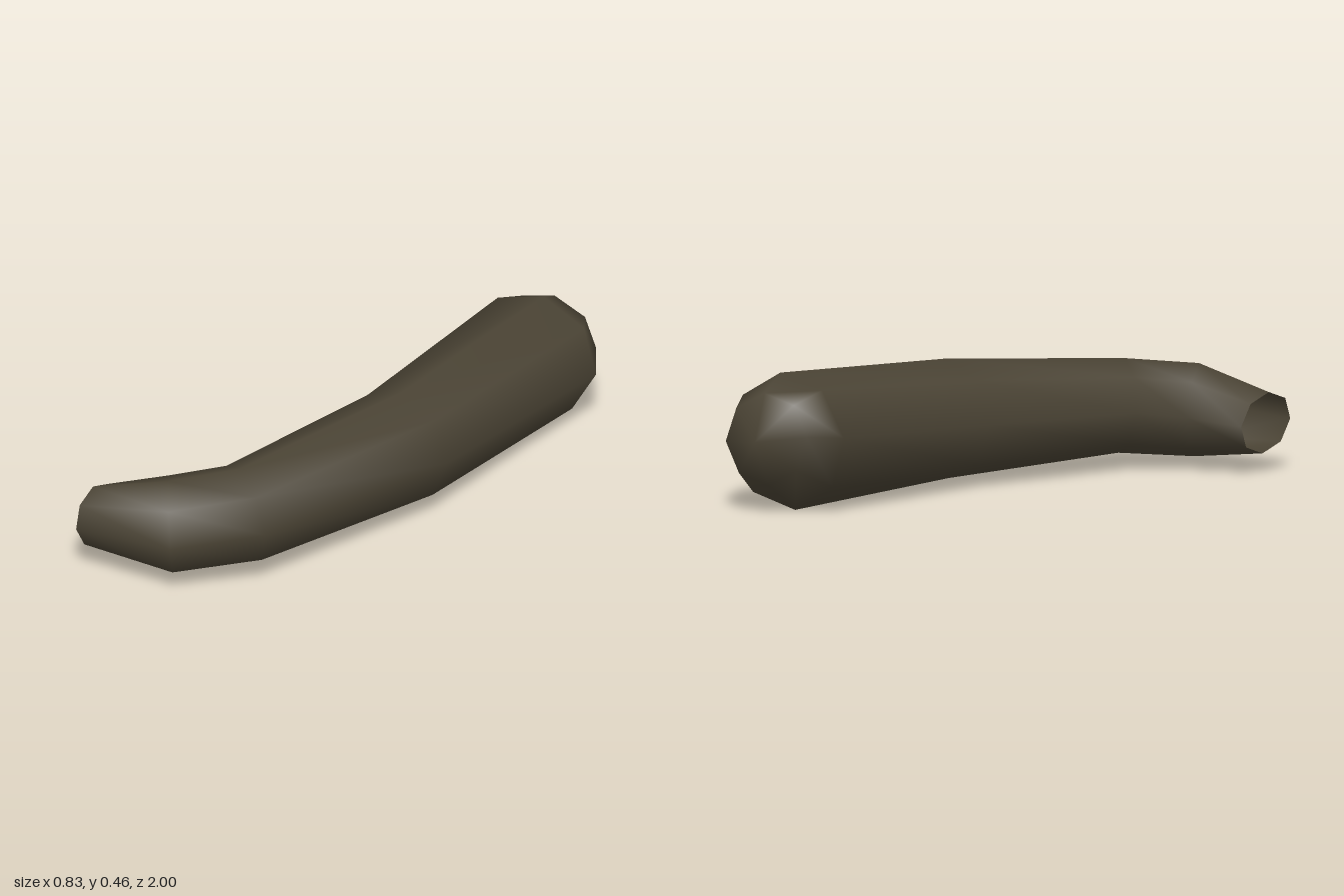
import * as THREE from 'three';

const SIDES = 8;

// Cross-sections from the open end to the domed end:
// centre, half-width vector and half-height vector of each octagonal ring
const RINGS = [
  { c: [-0.401, 0.17, 0.873], h: [0.008, 0, 0.125], v: [-0.01, 0.105, 0.005] },
  { c: [-0.135, 0.192, 0.81], h: [0.105, 0, 0.147], v: [-0.012, 0.16, 0] },
  { c: [0.035, 0.208, 0.625], h: [0.15, 0, 0.085], v: [-0.017, 0.163, 0] },
  { c: [0.193, 0.222, -0.045], h: [0.203, 0, 0.01], v: [0.005, 0.203, 0] },
  { c: [0.19, 0.23, -0.812], h: [0.222, -0.03, -0.045], v: [0.035, 0.23, 0] },
  { c: [0.172, 0.252, -0.932], h: [0.16, -0.02, -0.033], v: [0.022, 0.153, 0.013] },
];
const TIP = [0.16, 0.25, -1.0];

// Skin the rings into a smooth tube and close it with a fan at the tip
function tubeGeometry(rings, tip) {
  const positions = [];
  const index = [];
  for (const { c, h, v } of rings) {
    for (let j = 0; j < SIDES; j++) {
      const a = (j / SIDES) * Math.PI * 2;
      for (let k = 0; k < 3; k++) {
        positions.push(c[k] + h[k] * Math.cos(a) + v[k] * Math.sin(a));
      }
    }
  }
  positions.push(...tip);
  const tipIndex = rings.length * SIDES;

  for (let i = 0; i < rings.length; i++) {
    for (let j = 0; j < SIDES; j++) {
      const next = (j + 1) % SIDES;
      const a = i * SIDES + j;
      const b = i * SIDES + next;
      if (i === rings.length - 1) {
        index.push(a, tipIndex, b);
      } else {
        index.push(a, a + SIDES, b, a + SIDES, b + SIDES, b);
      }
    }
  }

  const geometry = new THREE.BufferGeometry();
  geometry.setAttribute('position', new THREE.Float32BufferAttribute(positions, 3));
  geometry.setIndex(index);
  geometry.computeVertexNormals();
  return geometry;
}

export function createModel() {
  const group = new THREE.Group();
  group.name = 'bentSleeve';

  const darkOlive = new THREE.MeshStandardMaterial({ color: 0x4a4334, side: THREE.DoubleSide });
  darkOlive.name = 'darkOlive';

  // Bent sleeve, open at the narrow end
  const sleeve = new THREE.Mesh(tubeGeometry(RINGS, TIP), darkOlive);
  sleeve.name = 'sleeve';
  group.add(sleeve);

  return group;
}
